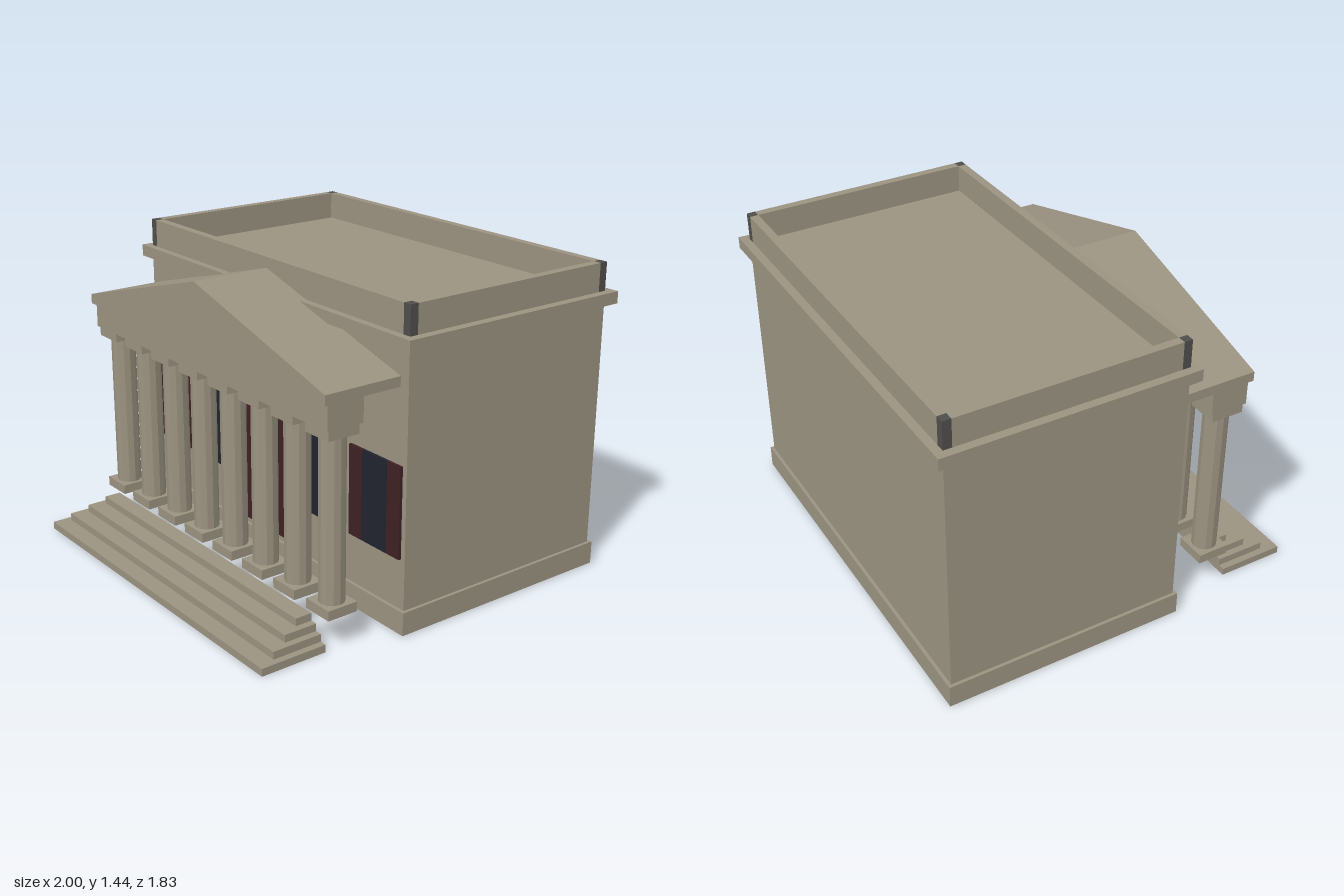
import * as THREE from 'three';

const material = (name, color, extra = {}) => {
  const m = new THREE.MeshStandardMaterial({ color, ...extra });
  m.name = name;
  return m;
};

export function createModel() {
  const stone = material('stone', 0x9b9381);
  const columnStone = stone.clone();
  columnStone.flatShading = true;
  const red = material('darkRed', 0x3e2124);
  const navy = material('darkNavy', 0x22242f);
  const dark = material('darkGrey', 0x504e4b);
  const root = new THREE.Group();
  root.name = 'templeBuilding';

  const add = (name, geometry, mat, parent = root) => {
    const mesh = new THREE.Mesh(geometry, mat);
    mesh.name = name;
    parent.add(mesh);
    return mesh;
  };
  // Box given by its extents along each axis
  const box = (name, mat, [x0, x1], [y0, y1], [z0, z1], parent = root) => {
    const mesh = add(name, new THREE.BoxGeometry(x1 - x0, y1 - y0, z1 - z0), mat, parent);
    mesh.position.set((x0 + x1) / 2, (y0 + y1) / 2, (z0 + z1) / 2);
    return mesh;
  };
  const group = (name) => {
    const g = new THREE.Group();
    g.name = name;
    root.add(g);
    return g;
  };

  // Main hall
  box('plinth', stone, [-0.975, 0.975], [0.003, 0.11], [-0.89, 0.26]);
  box('underside', dark, [-0.96, 0.96], [0, 0.01], [-0.875, 0.245]);
  box('hallWalls', stone, [-0.96, 0.96], [0.11, 1.255], [-0.875, 0.245]);
  box('cornice', stone, [-1, 1], [1.255, 1.31], [-0.915, 0.28]);

  // Parapet around the flat roof, with dark corner posts
  const parapet = group('parapet');
  const py = [1.31, 1.44];
  for (const [z0, z1] of [[0.205, 0.245], [-0.875, -0.835]]) {
    box('parapetLongWall', stone, [-0.92, 0.92], py, [z0, z1], parapet);
    for (const s of [-1, 1]) {
      const x = s * 0.94;
      box('cornerPost', dark, [x - 0.02, x + 0.02], py, [z0, z1], parapet);
    }
  }
  for (const x of [-0.94, 0.94]) {
    box('parapetSideWall', stone, [x - 0.02, x + 0.02], py, [-0.835, 0.205], parapet);
  }

  // Pediment with gabled roof
  const gable = new THREE.Shape([
    [-0.91, 1.09], [0.91, 1.09], [0.91, 1.135], [0, 1.39], [-0.91, 1.135],
  ].map(([x, y]) => new THREE.Vector2(x, y)));
  const pediment = add('pediment',
    new THREE.ExtrudeGeometry(gable, { depth: 0.385, bevelEnabled: false }), stone);
  pediment.position.z = 0.24;
  box('entablature', stone, [-0.9, 0.9], [0.975, 1.09], [0.425, 0.605]);

  // Row of eight columns
  const columns = group('columns');
  for (let i = 0; i < 8; i++) {
    const x = (i - 3.5) * 0.2335;
    const side = [x - 0.075, x + 0.075];
    box('columnBase', stone, side, [0.145, 0.19], [0.44, 0.59], columns);
    box('columnCapital', stone, side, [0.93, 0.975], [0.44, 0.595], columns);
    const shaft = add('columnShaft',
      new THREE.CylinderGeometry(0.058, 0.058, 0.74, 12), columnStone, columns);
    shaft.position.set(x, 0.56, 0.515);
    const foot = add('columnFoot', new THREE.CylinderGeometry(0.05, 0.05, 0.01, 8), dark, columns);
    foot.position.set(x, 0.148, 0.515);
  }

  // Hanging lantern between the middle columns
  const lantern = add('lantern', new THREE.CylinderGeometry(0.033, 0.025, 0.065, 8), dark);
  lantern.position.set(0, 0.942, 0.515);

  // Front steps, stacked without overlaps
  const steps = group('steps');
  for (let i = 0; i < 4; i++) {
    const w = 0.88 - i * 0.032;
    box('step', stone, [-w, w], [i * 0.035, (i + 1) * 0.035], [0.595, 0.915 - i * 0.08], steps);
  }

  // Door and shuttered windows
  const wall = [0.24, 0.258];
  box('door', red, [-0.175, 0.175], [0.145, 0.725], [0.24, 0.262]);
  const windows = group('windows');
  const wy = [0.34, 0.755];
  for (const cx of [-0.77, -0.38, 0.38, 0.77]) {
    box('windowPane', navy, [cx - 0.08, cx + 0.08], wy, wall, windows);
    for (const s of [-1, 1]) {
      const x = cx + s * 0.1235;
      box('shutter', red, [x - 0.042, x + 0.042], wy, wall, windows);
    }
  }
  return root;
}
